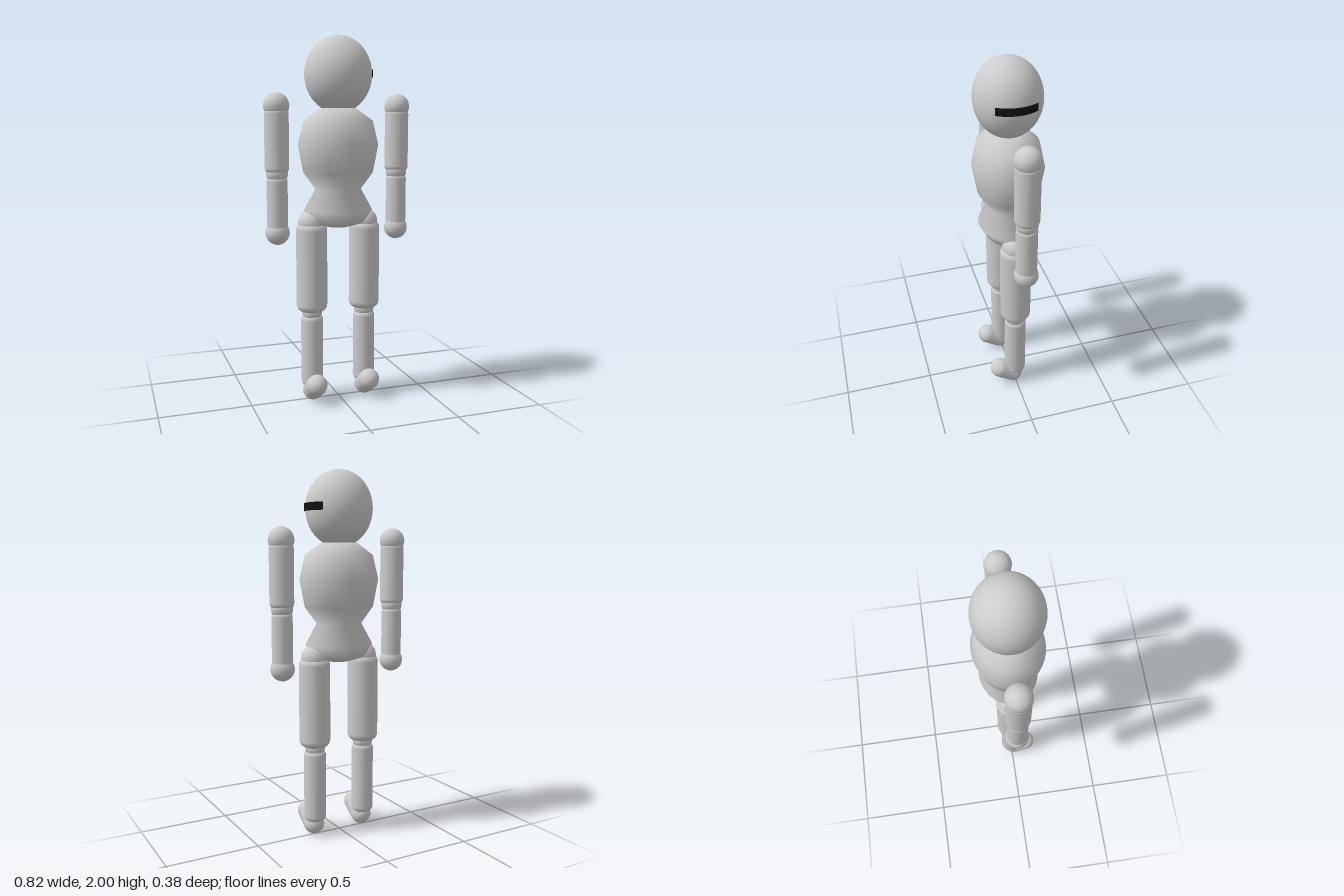
import * as THREE from 'three';

const grey = new THREE.MeshStandardMaterial({ color: 0xcccccc });
const black = new THREE.MeshStandardMaterial({ color: 0x111111, side: THREE.DoubleSide });

function add(parent, name, geometry, x, y, z, material = grey) {
  const mesh = new THREE.Mesh(geometry, material);
  mesh.name = name;
  mesh.position.set(x, y, z);
  parent.add(mesh);
  return mesh;
}

const ball = (r) => new THREE.SphereGeometry(r, 24, 16);

// Upright limb segment with rounded rims, from y0 up to y1
function limb(r, y0, y1, round) {
  const pts = [new THREE.Vector2(0, y0)];
  for (let i = 0; i <= 5; i++) {
    const a = (i / 5) * Math.PI / 2;
    pts.push(new THREE.Vector2(r - round + round * Math.sin(a), y0 + round - round * Math.cos(a)));
  }
  for (let i = 0; i <= 5; i++) {
    const a = (i / 5) * Math.PI / 2;
    pts.push(new THREE.Vector2(r - round + round * Math.cos(a), y1 - round + round * Math.sin(a)));
  }
  pts.push(new THREE.Vector2(0, y1));
  return new THREE.LatheGeometry(pts, 24);
}

function arm(side) {
  const g = new THREE.Group();
  g.name = side > 0 ? 'leftArm' : 'rightArm';
  g.position.x = side * 0.343;
  add(g, 'shoulder', ball(0.069), 0, 1.627, 0);
  add(g, 'upperArm', limb(0.065, 1.27, 1.615, 0.03), 0, 0, 0);
  add(g, 'elbow', ball(0.058), 0, 1.27, 0);
  add(g, 'forearm', limb(0.056, 0.94, 1.25, 0.02), 0, 0, 0);
  add(g, 'hand', ball(0.065), 0, 0.953, 0);
  return g;
}

function leg(side) {
  const g = new THREE.Group();
  g.name = side > 0 ? 'leftLeg' : 'rightLeg';
  g.position.x = side * 0.153;
  add(g, 'hip', ball(0.074), 0, 0.995, 0);
  add(g, 'thigh', limb(0.085, 0.505, 1.0, 0.04), 0, 0, 0);
  add(g, 'knee', ball(0.056), 0, 0.5, 0);
  add(g, 'shin', limb(0.061, 0.08, 0.488, 0.03), 0, 0, 0);

  // Foot: a capsule tipped with the toe upwards
  const heel = new THREE.Vector3(0, 0.058, 0.014);
  const toe = new THREE.Vector3(0, 0.109, 0.092);
  const dir = toe.clone().sub(heel);
  const mid = heel.clone().add(toe).multiplyScalar(0.5);
  const foot = add(g, 'foot', new THREE.CapsuleGeometry(0.057, dir.length(), 10, 24), mid.x, mid.y, mid.z);
  foot.quaternion.setFromUnitVectors(new THREE.Vector3(0, 1, 0), dir.normalize());
  return g;
}

export function createModel() {
  const model = new THREE.Group();
  model.name = 'figure';

  const head = add(model, 'head', new THREE.SphereGeometry(1, 40, 28), 0, 1.795, 0);
  head.scale.set(0.183, 0.205, 0.176);

  // Dark band curving round the side of the head
  const half = 0.6;
  add(model, 'visor', new THREE.CylinderGeometry(0.187, 0.187, 0.042, 16, 1, true, Math.PI / 2 - half, 2 * half),
    0, 1.8, 0, black);

  // Torso: oval lathe from pelvis through waist and chest to neck
  const profile = [
    [0, 0.966], [0.05, 0.97], [0.1, 0.982], [0.143, 0.995], [0.19, 1.065], [0.127, 1.18],
    [0.193, 1.27], [0.222, 1.42], [0.19, 1.55], [0.1, 1.615], [0, 1.62],
  ].map(([r, y]) => new THREE.Vector2(r, y));
  const torso = add(model, 'torso', new THREE.LatheGeometry(profile, 40), 0, 0, 0);
  torso.scale.z = 0.845;

  for (const side of [-1, 1]) model.add(arm(side), leg(side));
  return model;
}
